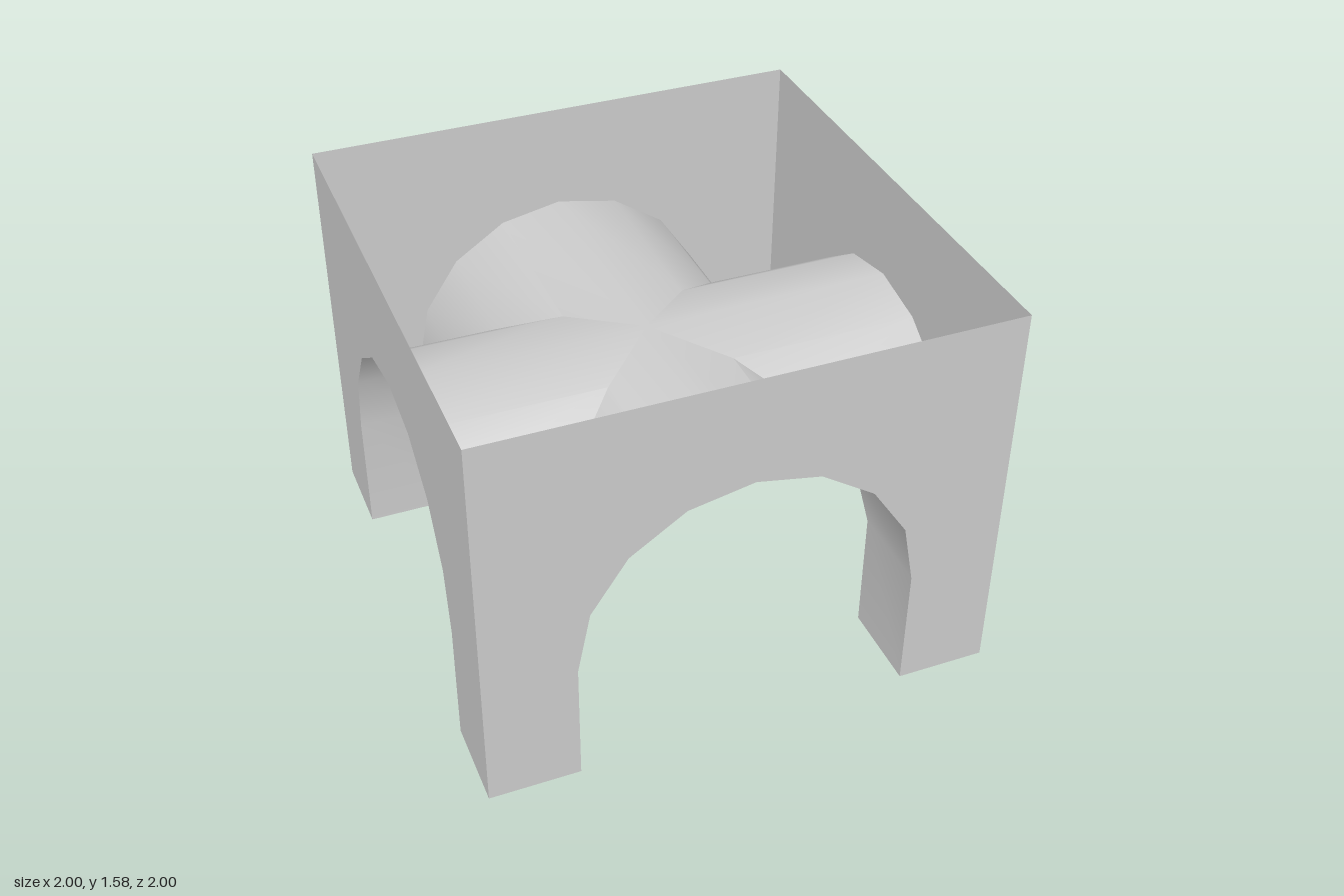
import * as THREE from 'three';
import { mergeGeometries, toCreasedNormals } from 'three/addons/utils/BufferGeometryUtils.js';

const HALF = 1, TOP = 1.58, RADIUS = 0.65, SPRING = 0.505, SEGMENTS = 8;

// Arch outline from the right foot over the crown to the left foot
function archProfile() {
  const points = [new THREE.Vector2(RADIUS, 0)];
  for (let i = 0; i <= SEGMENTS; i++) {
    const a = (i / SEGMENTS) * Math.PI;
    points.push(new THREE.Vector2(RADIUS * Math.cos(a), SPRING + RADIUS * Math.sin(a)));
  }
  points.push(new THREE.Vector2(-RADIUS, 0));
  return points;
}

// Quarter of the cross vault: runs from the wall inwards to the diagonal groins
function vaultQuarter(profile) {
  const positions = [];
  for (let i = 0; i < profile.length - 1; i++) {
    const p = profile[i], q = profile[i + 1];
    const a = [p.x, p.y, HALF], b = [q.x, q.y, HALF];
    const c = [q.x, q.y, Math.abs(q.x)], d = [p.x, p.y, Math.abs(p.x)];
    positions.push(...a, ...b, ...c, ...a, ...c, ...d);
  }
  const geometry = new THREE.BufferGeometry();
  geometry.setAttribute('position', new THREE.Float32BufferAttribute(positions, 3));
  return geometry;
}

export function createModel() {
  const group = new THREE.Group();
  group.name = 'crossVaultBay';
  const material = new THREE.MeshStandardMaterial({ color: 0xcccccc, side: THREE.DoubleSide });
  const profile = archProfile();

  // Four thin outer walls, each with an arched opening down to the floor
  const outline = new THREE.Shape([
    new THREE.Vector2(HALF, 0),
    new THREE.Vector2(HALF, TOP),
    new THREE.Vector2(-HALF, TOP),
    new THREE.Vector2(-HALF, 0),
    ...profile.slice().reverse(),
  ]);
  const wallGeometry = new THREE.ShapeGeometry(outline).translate(0, 0, HALF);
  ['frontWall', 'leftWall', 'backWall', 'rightWall'].forEach((name, i) => {
    const wall = new THREE.Mesh(wallGeometry, material);
    wall.name = name;
    wall.rotation.y = (i * Math.PI) / 2;
    group.add(wall);
  });

  // Groin vault with the inner leg faces, smooth along the arch and sharp at the groins
  const quarters = [0, 1, 2, 3].map((i) => vaultQuarter(profile).rotateY((i * Math.PI) / 2));
  const vault = new THREE.Mesh(toCreasedNormals(mergeGeometries(quarters), Math.PI / 6), material);
  vault.name = 'groinVault';
  group.add(vault);

  return group;
}
